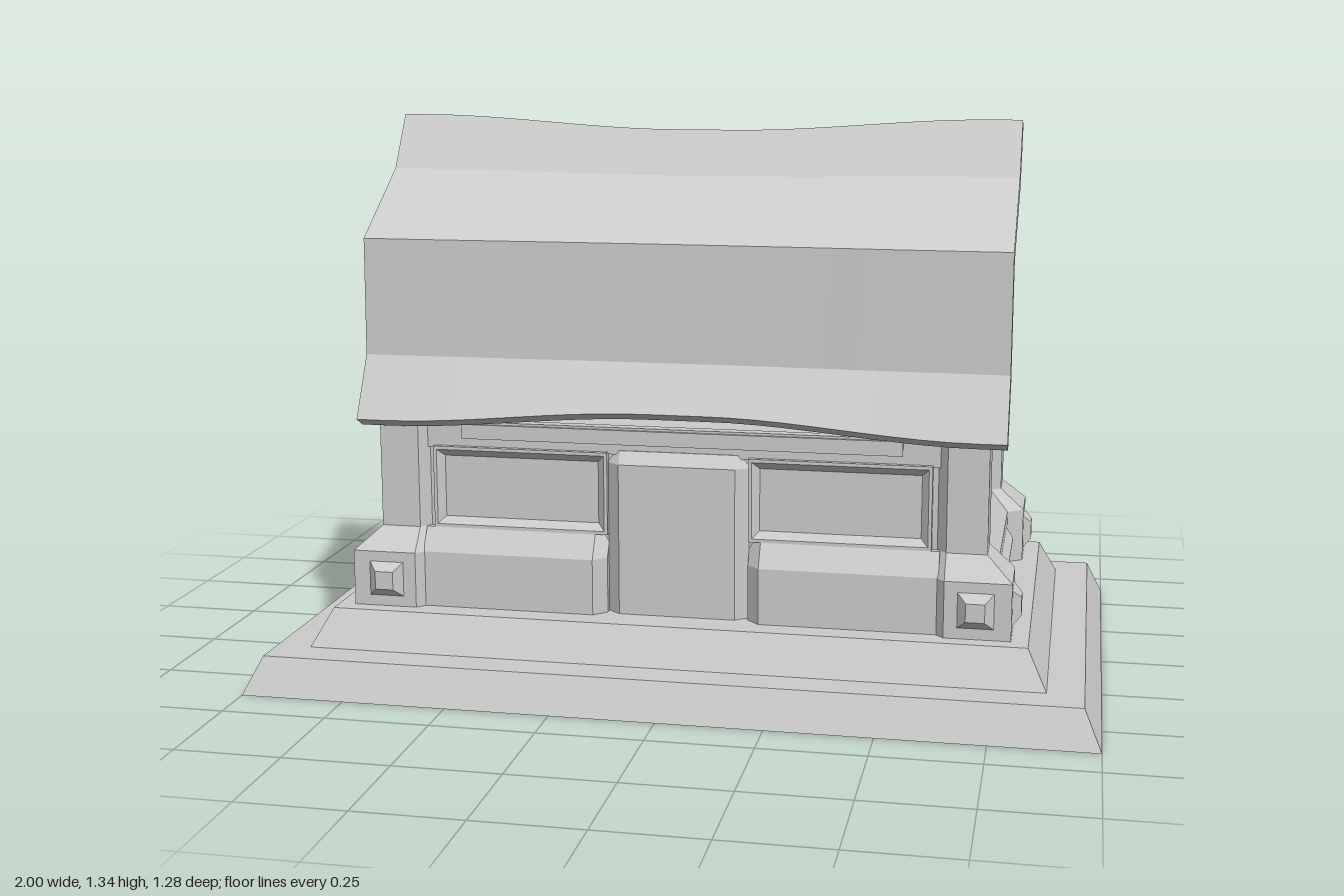
import * as THREE from 'three';
import { toCreasedNormals } from 'three/addons/utils/BufferGeometryUtils.js';

const mat = new THREE.MeshStandardMaterial({ color: 0xcccccc, side: THREE.DoubleSide });

// Skins a list of matching closed rings, caps the ends and turns the faces outward
function loft(rings, { capStart = true, capEnd = true, crease = 0.3 } = {}) {
  const n = rings[0].length, pos = rings.flat(2), idx = [];
  for (let r = 0; r < rings.length - 1; r++) {
    for (let i = 0; i < n; i++) {
      const a = r * n + i, b = r * n + (i + 1) % n;
      idx.push(a, b, b + n, a, b + n, a + n);
    }
  }
  const cap = (o, flip) => {
    for (let i = 0; i < n - 2 - i; i++) {
      const tris = [[i, i + 1, n - 1 - i]];
      if (i + 1 < n - 2 - i) tris.push([i + 1, n - 2 - i, n - 1 - i]);
      for (const t of tris) idx.push(...(flip ? t.reverse() : t).map(k => k + o));
    }
  };
  if (capStart) cap(0, true);
  if (capEnd) cap((rings.length - 1) * n, false);
  const p = k => new THREE.Vector3().fromArray(pos, k * 3);
  let volume = 0;
  for (let k = 0; k < idx.length; k += 3) volume += p(idx[k]).dot(p(idx[k + 1]).cross(p(idx[k + 2])));
  if (volume < 0) idx.reverse();
  const g = new THREE.BufferGeometry();
  g.setAttribute('position', new THREE.Float32BufferAttribute(pos, 3));
  g.setIndex(idx);
  return toCreasedNormals(g.toNonIndexed(), crease);
}

function add(parent, name, geometry, x = 0, y = 0, z = 0) {
  const m = new THREE.Mesh(geometry, mat);
  m.name = name;
  m.position.set(x, y, z);
  parent.add(m);
  return m;
}

const box = (w, h, d) => new THREE.BoxGeometry(w, h, d);
// Upright rectangle ring facing z, and flat rectangle ring facing y
const rectZ = (w, h, z) => [[-w, -h, z], [w, -h, z], [w, h, z], [-w, h, z]];
const rectY = (w, d, y) => [[-w, y, -d], [-w, y, d], [w, y, d], [w, y, -d]];
// Bevelled boss standing out towards +z
const boss = (w, h, inset, depth) => loft([rectZ(w, h, 0), rectZ(w - inset, h - inset, depth)]);
// Raised frame with sloping edges down to a sunken panel
const sunkenPanel = (w, h) => loft([
  rectZ(w, h, 0), rectZ(w, h, 0.018), rectZ(w - 0.008, h - 0.008, 0.018), rectZ(w - 0.025, h - 0.025, 0.002),
]);

function rectPath(PathType, w, y0, y1) {
  const p = new PathType();
  p.moveTo(-w, y0).lineTo(w, y0).lineTo(w, y1).lineTo(-w, y1).closePath();
  return p;
}

// Long side, facing +z
function makeLongSide(isBack) {
  const g = new THREE.Group();
  g.name = isBack ? 'backSide' : 'frontSide';
  for (const s of [-1, 1]) {
    const ring = (y, z) => [[0.17, y, 0.34], [0.62, y, 0.34], [0.62, y, z], [0.2, y, z], [0.17, y, z - 0.03]]
      .map(p => [p[0] * s, p[1], p[2]]);
    add(g, 'lowerLedge', loft([ring(0.175, 0.41), ring(0.31, 0.41), ring(0.365, 0.378)]));
    add(g, 'upperPanel', sunkenPanel(0.215, 0.1), s * 0.385, 0.465, 0.36);
    if (isBack) add(g, 'ledgeBar', boss(0.16, 0.024, 0.02, 0.018), s * 0.41, 0.255, 0.41);
  }
  // Central pillar with chamfered sides and top
  const pillar = (y, z) => [[-0.17, y, 0.34], [-0.17, y, z - 0.025], [-0.14, y, z],
    [0.14, y, z], [0.17, y, z - 0.025], [0.17, y, 0.34]];
  add(g, 'centrePillar', loft([pillar(0.175, 0.388), pillar(0.54, 0.388), pillar(0.57, 0.367)]));
  add(g, 'rimStrip', box(1.06, 0.035, 0.02), 0, 0.602, 0.362);
  if (isBack) {
    const shield = r => {
      const s = new THREE.Shape();
      s.moveTo(-r, 0.47 - (0.1 - r)).lineTo(-r, 0.3);
      s.absarc(0, 0.3, r, Math.PI, Math.PI * 2, false);
      s.lineTo(r, 0.47 - (0.1 - r)).closePath();
      return s;
    };
    const rim = shield(0.1);
    rim.holes.push(shield(0.085));
    add(g, 'shieldRim', new THREE.ExtrudeGeometry(rim, { depth: 0.02, bevelEnabled: false }), 0, 0, 0.383);
    add(g, 'shieldFace', new THREE.ExtrudeGeometry(shield(0.085), { depth: 0.012, bevelEnabled: false }), 0, 0, 0.383);
  }
  return g;
}

// Gabled short side, facing +z before it is turned
function makeEnd() {
  const g = new THREE.Group();
  g.name = 'gableEnd';
  const gable = () => {
    const s = new THREE.Shape();
    s.moveTo(-0.27, 0.175).lineTo(0.27, 0.175).lineTo(0.27, 0.64);
    s.lineTo(0.25, 0.65).lineTo(0, 0.775).lineTo(-0.25, 0.65).lineTo(-0.27, 0.64).closePath();
    return s;
  };
  const face = gable();
  for (const [y0, y1] of [[0.385, 0.482], [0.492, 0.578], [0.586, 0.62]]) {
    face.holes.push(rectPath(THREE.Path, 0.225, y0, y1));
  }
  add(g, 'gableWall', new THREE.ExtrudeGeometry(gable(), { depth: 0.035, bevelEnabled: false }), 0, 0, 0.65);
  add(g, 'gableFace', new THREE.ExtrudeGeometry(face, { depth: 0.018, bevelEnabled: false }), 0, 0, 0.685);
  add(g, 'gablePanel', boss(0.215, 0.036, 0.006, 0.008), 0, 0.535, 0.685);
  const ring = (y, z) => [[-0.27, y, 0.66], [-0.27, y, z], [0.27, y, z], [0.27, y, 0.66]];
  add(g, 'lowerLedge', loft([ring(0.175, 0.75), ring(0.31, 0.75), ring(0.365, 0.704)]));
  add(g, 'ledgeBar', boss(0.205, 0.024, 0.022, 0.018), 0, 0.257, 0.75);
  return g;
}

// Corner post with a wider foot and a stud on both outer faces
function makePost(sx, sz) {
  const g = new THREE.Group();
  g.name = 'cornerPost';
  const ring = (y, X, Z) => [[X, y, Z], [0.635, y, Z], [0.595, y, Z - 0.045],
    [0.595, y, 0.25], [X - 0.04, y, 0.25], [X, y, 0.28]];
  add(g, 'post', loft([ring(0.175, 0.79, 0.43), ring(0.31, 0.79, 0.43),
    ring(0.365, 0.73, 0.385), ring(0.65, 0.73, 0.385)]));
  add(g, 'stud', boss(0.042, 0.042, 0.02, 0.02), 0.708, 0.243, 0.43);
  add(g, 'stud', boss(0.042, 0.042, 0.02, 0.02), 0.79, 0.243, 0.352).rotation.y = Math.PI / 2;
  g.scale.set(sx, 1, sz);
  return g;
}

// Open lid: a folded plate whose edges draw in towards the middle
function makeLid() {
  // [z, y, inward pull in z, inward pull in y]
  const profile = [
    [0.435, 0.635, -0.018, 0.035], [0.355, 0.78, -0.01, 0], [0.35, 1.06, -0.01, 0],
    [0.115, 1.21, -0.005, -0.008], [0.03, 1.34, 0.018, -0.03],
    [-0.01, 1.322, 0.018, -0.03], [0.07, 1.185, -0.005, -0.008],
    [0.31, 1.035, -0.01, 0], [0.318, 0.755, -0.01, 0], [0.397, 0.615, -0.018, 0.035],
  ];
  const rings = [];
  for (let i = 0; i <= 24; i++) {
    const x = -0.77 + 1.54 * i / 24;
    const t = 1 - THREE.MathUtils.smoothstep(Math.abs(x), 0.08, 0.7);
    rings.push(profile.map(([z, y, dz, dy]) => [x, y + dy * t, z + dz * t]));
  }
  return loft(rings);
}

export function createModel() {
  const model = new THREE.Group();
  model.name = 'chest';

  // Stepped plinth, hollow underneath
  add(model, 'plinth', loft([rectY(1, 0.64, 0), rectY(0.96, 0.6, 0.087), rectY(0.875, 0.515, 0.087),
    rectY(0.83, 0.47, 0.175)], { capStart: false }));

  // Body and the raised rim around its shallow tray
  add(model, 'body', box(1.32, 0.385, 0.72), 0, 0.3675, 0);
  const rim = rectPath(THREE.Shape, 0.66, -0.365, 0.365);
  rim.holes.push(rectPath(THREE.Path, 0.63, -0.335, 0.335));
  const rimGeometry = new THREE.ExtrudeGeometry(rim, { depth: 0.065, bevelEnabled: false });
  add(model, 'rim', rimGeometry.rotateX(-Math.PI / 2), 0, 0.56, 0);

  for (const isBack of [false, true]) {
    const side = makeLongSide(isBack);
    side.rotation.y = isBack ? Math.PI : 0;
    model.add(side);
  }
  for (const s of [-1, 1]) {
    const end = makeEnd();
    end.rotation.y = s * Math.PI / 2;
    model.add(end);
    for (const sz of [-1, 1]) model.add(makePost(s, sz));
  }

  add(model, 'lid', makeLid());
  return model;
}
